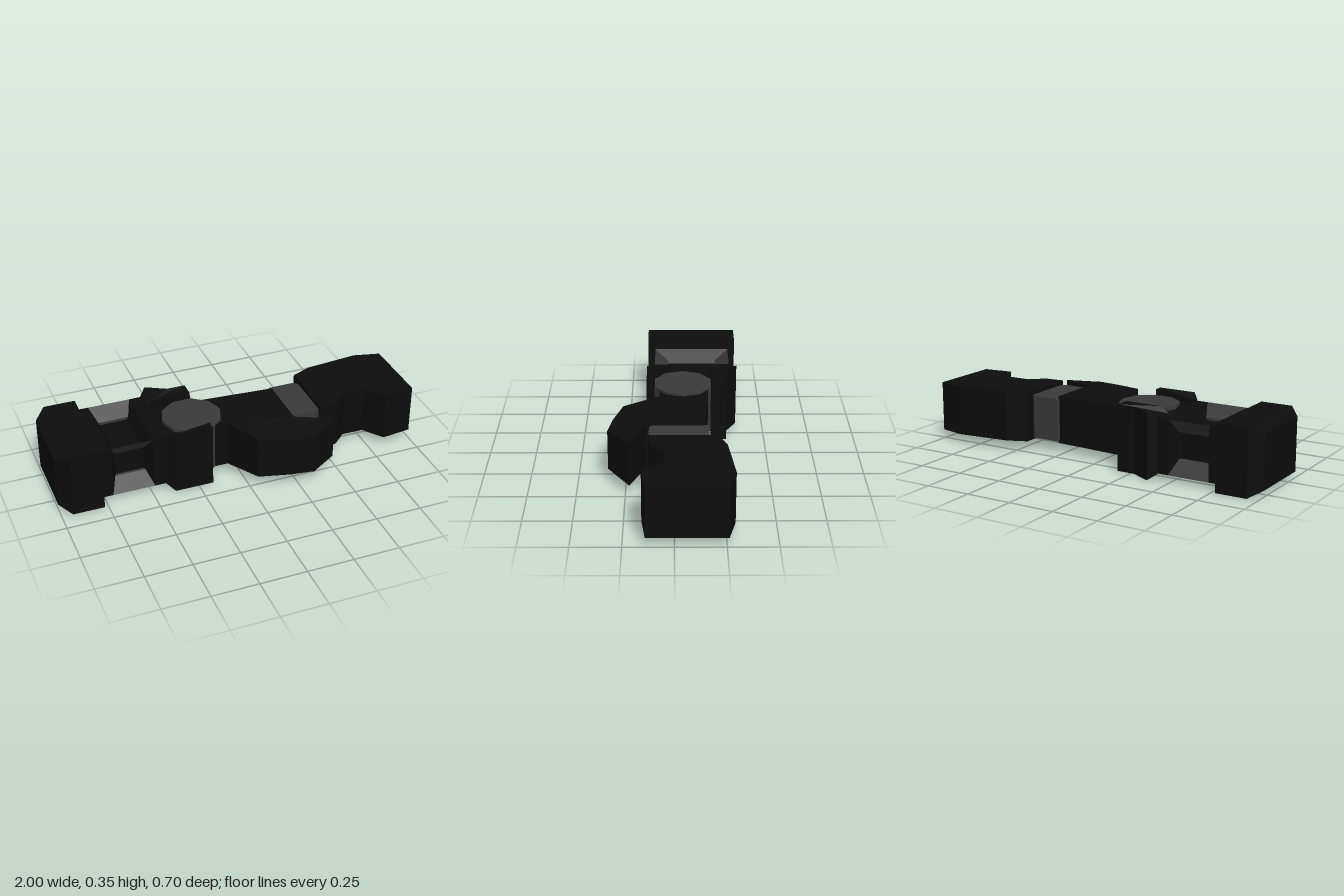
import * as THREE from 'three';

const CY = 0.1775, CZ = -0.1025; // centre line of the grip end
const black = new THREE.MeshStandardMaterial({ color: 0x0d0d0d, flatShading: true });
const grey = new THREE.MeshStandardMaterial({ color: 0x3a3a3a, flatShading: true });

// Extrudes a plan outline of [x, z] points from y0 up to y1; rule(v) may move each vertex
function plan(points, y0, y1, rule) {
  const shape = new THREE.Shape(points.map(([x, z]) => new THREE.Vector2(x, -z)));
  const geo = new THREE.ExtrudeGeometry(shape, { depth: y1 - y0, bevelEnabled: false });
  geo.rotateX(-Math.PI / 2).translate(0, y0, 0);
  if (rule) {
    const p = geo.attributes.position, v = new THREE.Vector3();
    for (let i = 0; i < p.count; i++) {
      rule(v.fromBufferAttribute(p, i));
      p.setXYZ(i, v.x, v.y, v.z);
    }
    geo.computeVertexNormals();
  }
  return geo;
}

// Rectangular cross-sections [x, half width z, half height y] joined along x
function loft(sections) {
  const pos = [], idx = [], n = sections.length;
  for (const [x, hz, hy] of sections) {
    for (const [sy, sz] of [[-1, -1], [1, -1], [1, 1], [-1, 1]]) pos.push(x, CY + sy * hy, CZ + sz * hz);
  }
  for (let s = 0; s < n - 1; s++) {
    for (let k = 0; k < 4; k++) {
      const a = s * 4 + k, b = s * 4 + (k + 1) % 4;
      idx.push(a, b, b + 4, a, b + 4, a + 4);
    }
  }
  const e = (n - 1) * 4;
  idx.push(0, 2, 1, 0, 3, 2, e, e + 1, e + 2, e, e + 2, e + 3);
  const geo = new THREE.BufferGeometry();
  geo.setAttribute('position', new THREE.Float32BufferAttribute(pos, 3));
  geo.setIndex(idx);
  const flat = geo.toNonIndexed();
  flat.computeVertexNormals();
  return flat;
}

export function createModel() {
  const model = new THREE.Group();
  const add = (name, geo, mat = black) => {
    const mesh = new THREE.Mesh(geo, mat);
    mesh.name = name;
    model.add(mesh);
    return mesh;
  };

  // Chamfered end cap
  add('endCap', loft([[-1, 0.187, 0.145], [-0.94, 0.2525, 0.1775], [-0.77, 0.2525, 0.1775]]));

  // Waisted body with pockets on all four faces
  const HZ = 0.21, HY = 0.145, D = 0.075;
  add('body', loft([
    [-0.78, HZ, HY], [-0.71, HZ, HY], [-0.67, HZ - D, HY - D],
    [-0.52, HZ - D, HY - D], [-0.48, HZ, HY], [-0.41, HZ, HY],
  ]));

  // Grey rails along the pocket corners
  for (const sy of [-1, 1]) {
    for (const sz of [-1, 1]) {
      const kite = [[0, 0], [0.06, D], [D, D], [D, 0.06]];
      const shape = new THREE.Shape(kite.map(([a, b]) =>
        new THREE.Vector2(-sz * (HZ - a), sy * (HY - b))));
      const geo = new THREE.ExtrudeGeometry(shape, { depth: 0.23, bevelEnabled: false });
      geo.rotateY(Math.PI / 2).translate(-0.71, CY, CZ);
      add('pocketRail', geo, grey);
    }
  }

  // Fork that holds the pivot: a web between two cheeks
  add('forkWeb', plan([[-0.43, -0.25], [-0.2, -0.25], [-0.2, 0.11], [-0.43, 0.11]], 0.05, 0.305));
  const chamferStart = (v) => { if (v.x < -0.4) v.y = CY + Math.sign(v.y - CY) * HY; };
  add('backCheek', plan([[-0.42, -0.31], [-0.38, -0.35], [-0.27, -0.29], [-0.17, -0.29],
    [-0.17, -0.205], [-0.38, -0.205], [-0.42, -0.205]], 0, 0.355, chamferStart));
  add('frontCheek', plan([[-0.42, 0.105], [-0.17, 0.105], [-0.17, 0.15],
    [-0.38, 0.15], [-0.42, 0.11]], 0, 0.355, chamferStart));

  // Pivot drum with slightly bevelled rims
  const drum = new THREE.LatheGeometry([[0, -0.143], [0.15, -0.143], [0.162, -0.125],
    [0.162, 0.143], [0, 0.143]].map(([r, y]) => new THREE.Vector2(r, y)), 10);
  drum.rotateY(Math.PI / 2).translate(-0.218, CY + 0.002, -0.048);
  add('pivot', drum, grey);

  // Swinging arm with a hooked spur that thins towards its tip
  add('arm', plan([[-0.2, -0.19], [0.29, -0.155], [0.29, 0.15], [0.49, 0.23], [0.33, 0.343],
    [0.2, 0.32], [0.04, 0.27], [-0.06, 0.08], [-0.2, 0.08]], 0.05, 0.31, (v) => {
    const t = Math.max(0, (v.z - 0.16) / 0.18);
    v.y = 0.18 + Math.sign(v.y - 0.18) * (0.13 - 0.022 * t);
  }));

  // Grey coupling between arm and head
  add('coupling', plan([[0.28, -0.18], [0.43, -0.18], [0.46, -0.15], [0.46, 0.11],
    [0.43, 0.13], [0.31, 0.13], [0.28, 0.11]], 0.065, 0.3), grey);

  // Notched head block
  add('head', plan([[0.45, -0.22], [0.56, -0.265], [0.855, -0.295], [1, -0.26], [1, 0.14],
    [0.835, 0.16], [0.755, 0.05], [0.635, 0.05], [0.56, 0.12], [0.45, 0.13]], 0.05, 0.323));

  return model;
}
